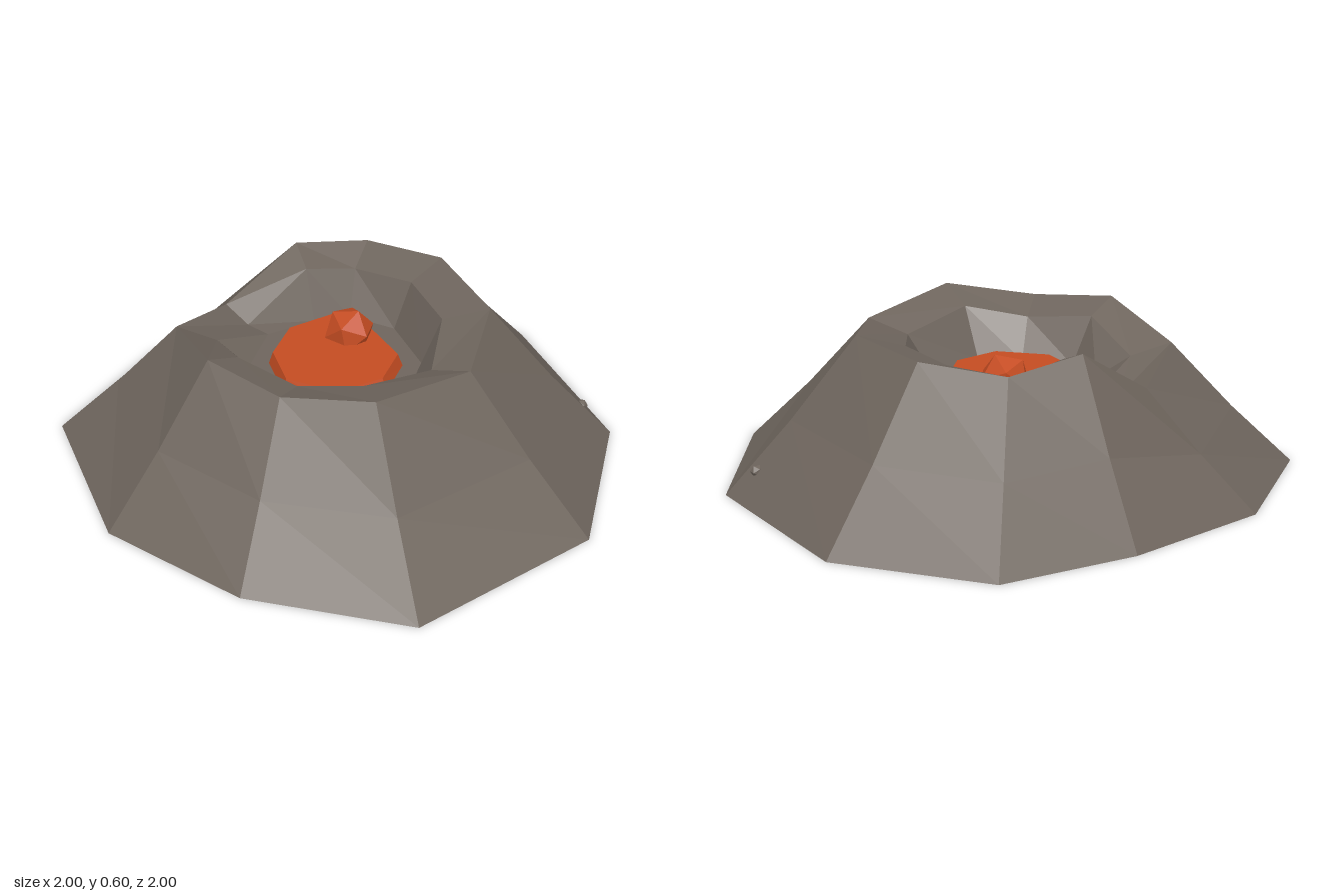
import * as THREE from 'three';

const rock = new THREE.MeshStandardMaterial({ color: 0x6e655d, flatShading: true });
rock.name = 'volcanic rock';
const lava = new THREE.MeshStandardMaterial({ color: 0xc44c22, flatShading: true });
lava.name = 'lava orange';

// Joins stacked rings of [x, y, z] points, then closes the first and last ring.
function loft(rings) {
  const out = [];
  const n = rings[0].length;
  const tri = (...pts) => pts.forEach((p) => out.push(...p));
  const centre = (ring) => [0, 1, 2].map((k) => ring.reduce((s, p) => s + p[k], 0) / n);
  const low = centre(rings[0]);
  const high = centre(rings[rings.length - 1]);
  for (let i = 0; i < n; i++) {
    const j = (i + 1) % n;
    for (let r = 0; r < rings.length - 1; r++) {
      const a = rings[r], b = rings[r + 1];
      tri(a[i], b[i], b[j]);
      tri(a[i], b[j], a[j]);
    }
    const last = rings[rings.length - 1];
    tri(rings[0][i], rings[0][j], low);
    tri(last[i], high, last[j]);
  }
  const geo = new THREE.BufferGeometry();
  geo.setAttribute('position', new THREE.Float32BufferAttribute(out, 3));
  geo.computeVertexNormals();
  return geo;
}

const atHeight = (points, y) => points.map(([x, z]) => [x, y, z]);

export function createModel() {
  const group = new THREE.Group();
  const add = (name, geo, mat) => {
    const mesh = new THREE.Mesh(geo, mat);
    mesh.name = name;
    group.add(mesh);
    return mesh;
  };

  // Cone: irregular ten-sided foot, shoulder, rim with a notch at the back, lip and crater floor
  const foot = atHeight([
    [-0.95, -0.63], [-0.46, -0.96], [0.12, -1], [0.64, -0.92], [1, -0.43],
    [0.98, 0.31], [0.57, 0.84], [-0.2, 1], [-0.7, 0.6], [-1, 0.07],
  ], 0);
  const rim = [
    [-0.53, 0.49, -0.4], [-0.26, 0.41, -0.58], [0.05, 0.6, -0.6], [0.34, 0.56, -0.56], [0.53, 0.58, -0.29],
    [0.53, 0.58, 0.11], [0.3, 0.54, 0.39], [-0.12, 0.59, 0.48], [-0.39, 0.55, 0.26], [-0.55, 0.58, -0.02],
  ];
  const shoulder = rim.map(([x, y, z], i) => [(x + foot[i][0]) / 2, y * 0.47, (z + foot[i][2]) / 2]);
  const lip = [
    [-0.4, -0.32], [-0.21, -0.48], [0.04, -0.48], [0.24, -0.46], [0.38, -0.25],
    [0.37, 0.03], [0.21, 0.26], [-0.09, 0.31], [-0.28, 0.16], [-0.42, -0.06],
  ].map(([x, z], i) => [x, rim[i][1] - 0.05, z]);
  const floor = atHeight([
    [-0.31, -0.23], [-0.16, -0.4], [0.04, -0.41], [0.18, -0.38], [0.3, -0.23],
    [0.29, 0.03], [0.16, 0.17], [-0.08, 0.21], [-0.21, 0.1], [-0.33, -0.06],
  ], 0.35);
  add('volcanoCone', loft([foot, shoulder, rim, lip, floor]), rock);

  // Lava pool: eight-sided slab, slightly narrower on top
  const poolEdge = [
    [-0.1, -0.36], [0.1, -0.38], [0.2, -0.24], [0.22, 0.01],
    [0.09, 0.14], [-0.11, 0.15], [-0.26, -0.02], [-0.235, -0.22],
  ];
  const poolTop = poolEdge.map(([x, z]) => [-0.02 + (x + 0.02) * 0.93, -0.115 + (z + 0.115) * 0.91]);
  add('lavaPool', loft([atHeight(poolEdge, 0.345), atHeight(poolTop, 0.4)]), lava);

  // Lava blob resting in the pool
  const blob = add('lavaBlob', new THREE.IcosahedronGeometry(0.098, 0), lava);
  blob.position.set(0.095, 0.415, -0.205);
  blob.rotation.set(0.4, 0.5, 0.2);

  // Tiny stone half buried in the slope
  const stone = add('slopeStone', new THREE.IcosahedronGeometry(0.025, 0), rock);
  stone.position.set(0.893, 0.1, 0.225);

  return group;
}
